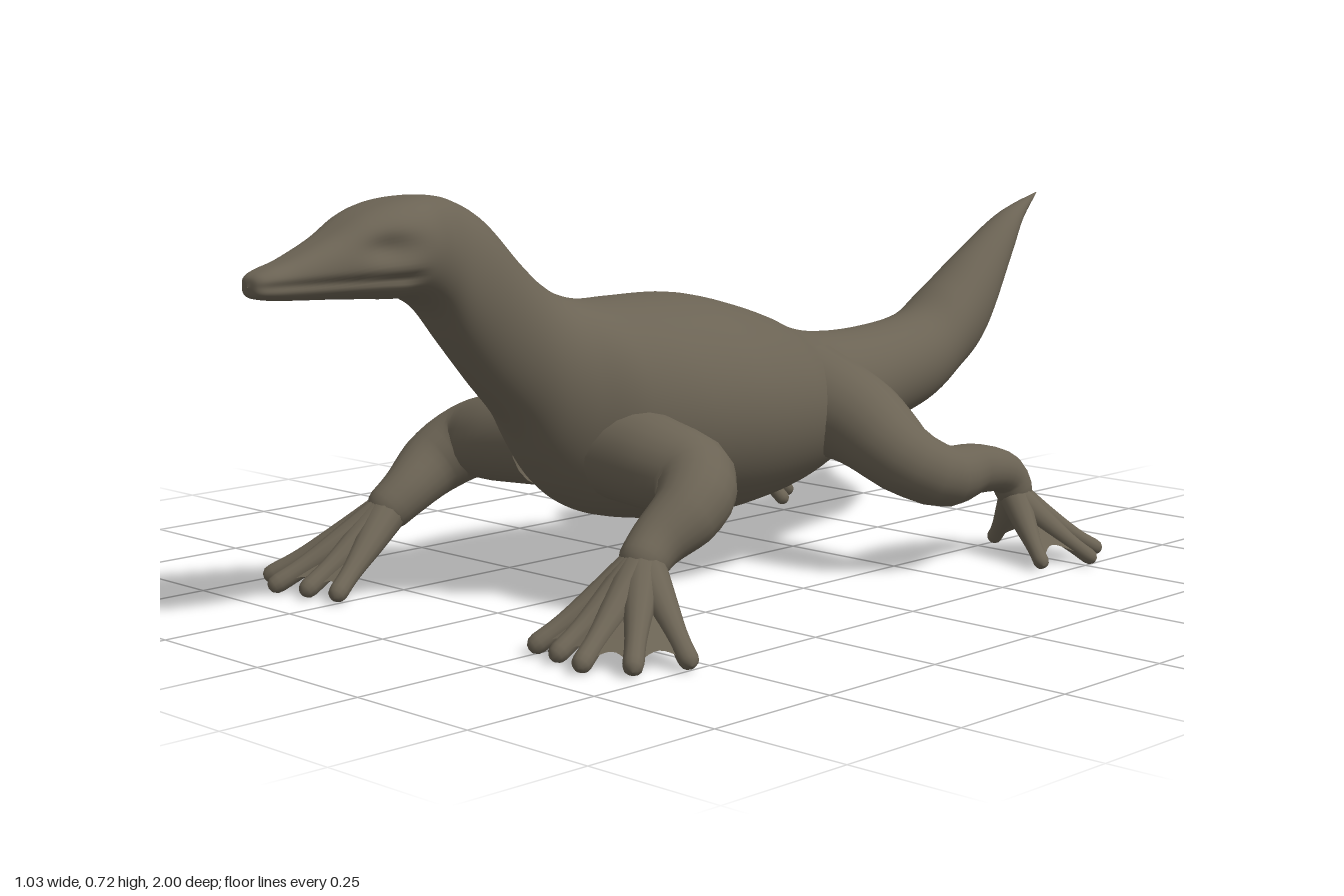
import * as THREE from 'three';

const hide = new THREE.MeshStandardMaterial({ color: 0x6b6354, side: THREE.DoubleSide });
hide.name = 'olive brown hide';

const V = (x, y, z) => new THREE.Vector3(x, y, z);
const bump = (d, w) => Math.exp(-(d * d) / (w * w));

// Grid surface from a point function; wrapped surfaces join their last column to the first
function surface(name, rows, cols, wrap, point) {
  const pos = [], idx = [], n = wrap ? cols : cols + 1;
  for (let i = 0; i <= rows; i++)
    for (let j = 0; j < n; j++) pos.push(...point(i / rows, j / cols).toArray());
  for (let i = 0; i < rows; i++)
    for (let j = 0; j < cols; j++) {
      const k = (j + 1) % n, a = i * n + j, b = i * n + k, c = a + n, d = b + n;
      idx.push(a, b, c, b, d, c);
    }
  const g = new THREE.BufferGeometry();
  g.setAttribute('position', new THREE.Float32BufferAttribute(pos, 3));
  g.setIndex(idx);
  g.computeVertexNormals();
  const mesh = new THREE.Mesh(g, hide);
  mesh.name = name;
  return mesh;
}

// Round-ended tapering tube through points [x, y, z, radius]
function limb(name, pts, side, rows = 32, cols = 20) {
  const curve = new THREE.CatmullRomCurve3(pts.map(p => V(p[0] * side, p[1], p[2])));
  const radii = new THREE.CatmullRomCurve3(pts.map((p, i) => V(p[3], i, 0)), false, 'catmullrom');
  const frames = curve.computeFrenetFrames(rows, false);
  const len = curve.getLength();
  const tip = Math.min(0.4, pts[pts.length - 1][3] / len);
  return surface(name, rows, cols, true, (u, v) => {
    const s = 0.5 - 0.5 * Math.cos(Math.PI * u);
    const k = Math.min(rows, Math.round(s * rows));
    const e = Math.max(0, (s - 1 + tip) / tip);
    const r = radii.getPoint(curve.getUtoTmapping(s)).x * Math.sqrt(Math.max(0, 1 - e * e));
    const a = v * Math.PI * 2;
    return curve.getPointAt(s)
      .addScaledVector(frames.normals[k], r * Math.cos(a))
      .addScaledVector(frames.binormals[k], r * Math.sin(a));
  });
}

// Webbed foot: toes fanning from the ankle with scalloped skin between
function foot(name, ankle, tips, lift, radius, scallop, side) {
  const group = new THREE.Group();
  group.name = name;
  const path = ([x, z]) => new THREE.QuadraticBezierCurve3(
    V(ankle[0], ankle[1], ankle[2]),
    V((ankle[0] + x) / 2, lift, (ankle[2] + z) / 2),
    V(x, 0.018, z));
  const paths = tips.map(path);
  paths.forEach(c => {
    const pts = [0, 0.35, 0.7, 0.92, 1].map((t, i) => {
      const p = c.getPoint(t);
      return [p.x, p.y, p.z, radius * [1, 0.75, 0.5, 0.48, 0.45][i]];
    });
    group.add(limb('toe', pts, side, 16, 12));
  });
  for (let k = 0; k < paths.length - 1; k++)
    group.add(surface('web', 10, 10, false, (u, v) => {
      const t = u * (0.95 - scallop * Math.sin(Math.PI * v));
      const p = paths[k].getPoint(t).lerp(paths[k + 1].getPoint(t), v);
      p.x *= side;
      return p;
    }));
  return group;
}

// Trunk stations from tail tip to nose: z, top, bottom, half width
const stations = [
  [-1, 0.645, 0.643, 0.001], [-0.93, 0.625, 0.58, 0.022], [-0.87, 0.60, 0.495, 0.042],
  [-0.77, 0.54, 0.35, 0.068], [-0.68, 0.48, 0.29, 0.082], [-0.59, 0.43, 0.245, 0.09],
  [-0.44, 0.413, 0.21, 0.105], [-0.3, 0.418, 0.17, 0.125], [-0.2, 0.44, 0.145, 0.165],
  [-0.11, 0.475, 0.13, 0.2], [0, 0.508, 0.12, 0.227], [0.09, 0.525, 0.12, 0.234],
  [0.2, 0.528, 0.132, 0.215], [0.3, 0.53, 0.155, 0.175], [0.37, 0.545, 0.195, 0.13],
  [0.42, 0.572, 0.25, 0.105], [0.47, 0.615, 0.325, 0.09], [0.54, 0.685, 0.40, 0.081],
  [0.6, 0.718, 0.47, 0.077], [0.65, 0.729, 0.535, 0.084], [0.7, 0.729, 0.565, 0.096],
  [0.75, 0.722, 0.568, 0.095], [0.8, 0.706, 0.572, 0.08], [0.86, 0.674, 0.576, 0.06],
  [0.93, 0.645, 0.58, 0.044], [0.975, 0.632, 0.584, 0.036], [0.995, 0.622, 0.59, 0.024],
  [1, 0.607, 0.605, 0.001],
];

function trunk() {
  const heights = new THREE.CatmullRomCurve3(stations.map(s => V(s[0], s[1], s[2])), false, 'catmullrom');
  const widths = new THREE.CatmullRomCurve3(stations.map(s => V(s[3], 0, 0)), false, 'catmullrom');
  return surface('trunk', 200, 64, true, (u, v) => {
    const h = heights.getPoint(u), w = Math.max(0.0005, widths.getPoint(u).x);
    const a = v * Math.PI * 2, c = Math.cos(a);
    const head = THREE.MathUtils.smoothstep(h.x, 0.6, 0.72);
    let x = w * Math.sign(c) * Math.pow(Math.abs(c), 1 - 0.3 * head);
    const y = (h.y + h.z) / 2 + (h.y - h.z) / 2 * Math.sin(a);
    // Eye hollows and mouth crease
    const eye = 0.2 * bump(h.x - 0.785, 0.045) * bump(y - 0.655, 0.022);
    const mouth = 0.13 * THREE.MathUtils.smoothstep(h.x, 0.7, 0.76) * bump(y - 0.606, 0.008);
    x *= 1 - eye - mouth;
    return V(x, y, h.x);
  });
}

const frontLeg = [
  [0.1, 0.275, 0.3, 0.085], [0.2, 0.265, 0.308, 0.08], [0.285, 0.25, 0.31, 0.07],
  [0.32, 0.215, 0.36, 0.062], [0.318, 0.165, 0.44, 0.046], [0.33, 0.12, 0.5, 0.04],
];
const backLeg = [
  [0.08, 0.315, -0.2, 0.1], [0.2, 0.28, -0.205, 0.085], [0.315, 0.22, -0.205, 0.065],
  [0.352, 0.19, -0.26, 0.057], [0.335, 0.185, -0.38, 0.046], [0.335, 0.16, -0.475, 0.038],
  [0.345, 0.1, -0.5, 0.034],
];
const frontToes = [[0.51, 0.55], [0.47, 0.64], [0.395, 0.685], [0.32, 0.67], [0.25, 0.655]];
const backToes = [[0.475, -0.405], [0.515, -0.51], [0.47, -0.592], [0.34, -0.62], [0.265, -0.525]];

export function createModel() {
  const model = new THREE.Group();
  model.name = 'lizard';
  model.add(trunk());
  for (const [side, label] of [[1, 'left'], [-1, 'right']]) {
    model.add(limb(label + 'FrontLeg', frontLeg, side));
    model.add(limb(label + 'BackLeg', backLeg, side));
    model.add(foot(label + 'FrontFoot', [0.322, 0.14, 0.47], frontToes, 0.075, 0.036, 0.13, side));
    model.add(foot(label + 'BackFoot', [0.342, 0.12, -0.49], backToes, 0.06, 0.03, 0.25, side));
  }
  return model;
}
